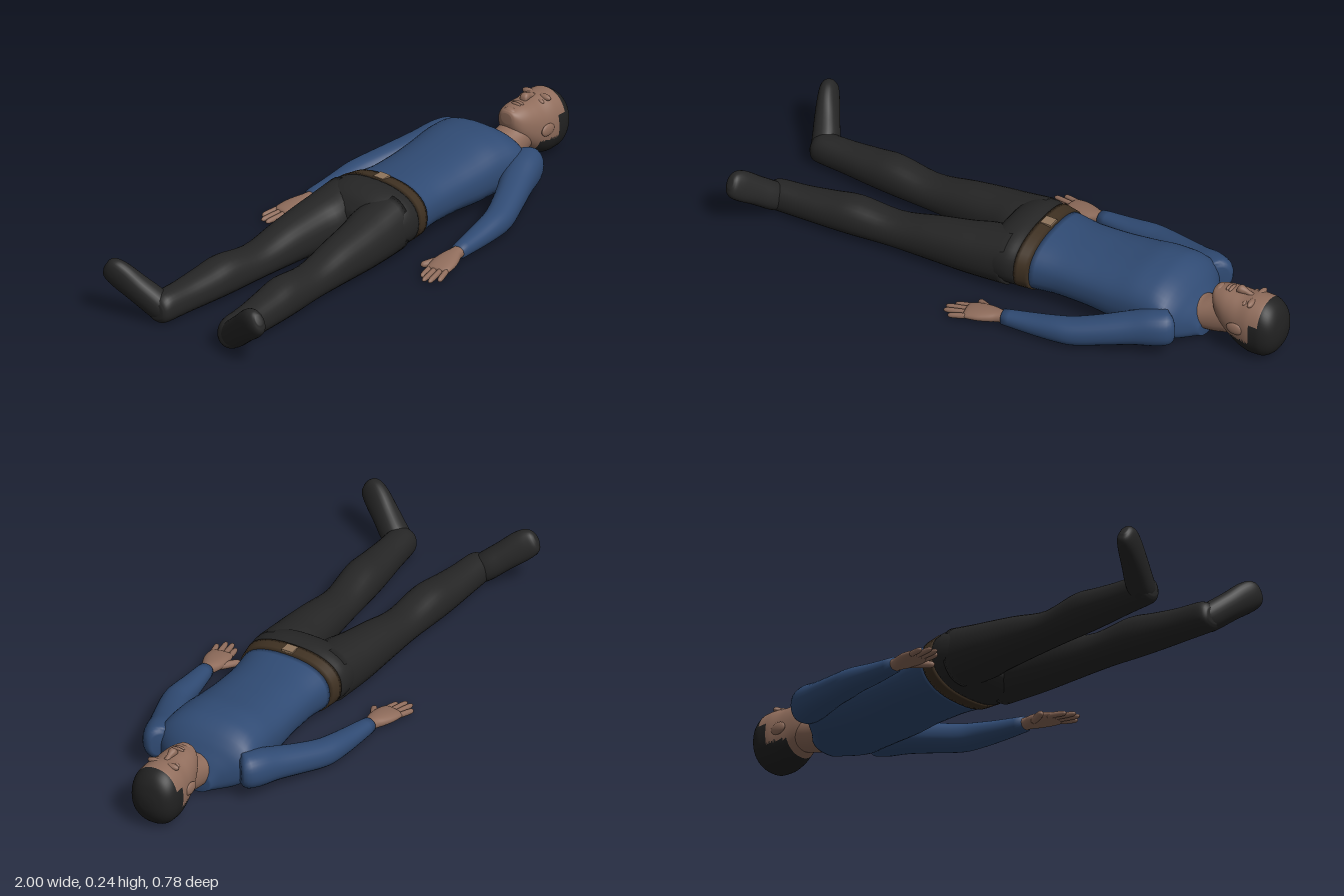
import * as THREE from 'three';

const mat = (name, color) => {
  const m = new THREE.MeshStandardMaterial({ color });
  m.name = name;
  return m;
};

// Hermite step with limited slopes, so thickness never overshoots
function blend(a, b, c, d, t) {
  const slope = (u, v) => (u * v <= 0 ? 0
    : Math.sign(u) * Math.min(Math.abs(u + v) / 2, 2 * Math.abs(u), 2 * Math.abs(v)));
  const m0 = slope(b - a, c - b), m1 = slope(c - b, d - c);
  const t2 = t * t, t3 = t2 * t;
  return (2 * t3 - 3 * t2 + 1) * b + (t3 - 2 * t2 + t) * m0 + (3 * t2 - 2 * t3) * c + (t3 - t2) * m1;
}

// Skin a tube through sections [x, y, z, half width, half thickness]
function loft(sections, { axis, up = [0, 1, 0], sides = 28, steps = 4, power = 0.9, keep } = {}) {
  const rows = [], last = sections.length - 1;
  for (let i = 0; i <= last * steps; i++) {
    const k = Math.min(Math.floor(i / steps), last - 1), t = i / steps - k;
    const at = (j) => sections[Math.max(0, Math.min(last, j))];
    rows.push(at(k).map((v, c) => {
      const p = k > 0 ? at(k - 1)[c] : 2 * v - at(k + 1)[c];
      const n = k + 2 <= last ? at(k + 2)[c] : 2 * at(k + 1)[c] - v;
      return blend(p, v, at(k + 1)[c], n, t);
    }));
  }
  const pos = [], idx = [], ref = new THREE.Vector3(...up);
  const centre = (r) => new THREE.Vector3(r[0], r[1], r[2]);
  const round = (v) => Math.sign(v) * Math.pow(Math.abs(v), power);
  rows.forEach((r, i) => {
    const T = axis ? new THREE.Vector3(...axis)
      : centre(rows[Math.min(i + 1, rows.length - 1)]).sub(centre(rows[Math.max(i - 1, 0)])).normalize();
    const S = ref.clone().cross(T).normalize(), U = T.clone().cross(S);
    for (let j = 0; j < sides; j++) {
      const a = (j / sides) * Math.PI * 2;
      const p = centre(r).addScaledVector(S, r[3] * round(Math.cos(a))).addScaledVector(U, r[4] * round(Math.sin(a)));
      pos.push(p.x, p.y, p.z);
    }
  });
  const n = rows.length, first = n * sides, end = first + 1;
  pos.push(...rows[0].slice(0, 3), ...rows[n - 1].slice(0, 3));
  for (let j = 0; j < sides; j++) {
    const q = (j + 1) % sides, e = (n - 1) * sides;
    for (let i = 0; i < n - 1; i++) {
      const a = i * sides + j, b = i * sides + q;
      idx.push(a, b, a + sides, b, b + sides, a + sides);
    }
    idx.push(first, q, j, end, e + j, e + q);
  }
  const g = new THREE.BufferGeometry();
  g.setAttribute('position', new THREE.Float32BufferAttribute(pos, 3));
  g.setIndex(idx);
  g.computeVertexNormals();
  if (keep) {
    const out = [];
    for (let i = 0; i < idx.length; i += 3) {
      const f = idx.slice(i, i + 3);
      const mid = (c) => (pos[f[0] * 3 + c] + pos[f[1] * 3 + c] + pos[f[2] * 3 + c]) / 3;
      if (keep(mid(0), mid(1), mid(2))) out.push(...f);
    }
    g.setIndex(out);
  }
  return g;
}

// Sections along x given as [x, bottom, top, half width, z]
const slab = (list, opts = {}) => loft(
  list.map(([x, lo, hi, w, z = 0]) => [x, (lo + hi) / 2, z, w, (hi - lo) / 2]),
  { axis: [1, 0, 0], ...opts });

export function createModel() {
  const root = new THREE.Group();
  const skin = mat('skin', 0x906d5c), shirt = mat('blue shirt', 0x304b74), trousers = mat('black trousers', 0x262626);
  const hairMat = mat('dark hair', 0x212121), leather = mat('brown leather', 0x3f3122), metal = mat('buckle metal', 0x8f755c);
  const add = (name, geometry, material, parent = root) => {
    const m = new THREE.Mesh(geometry, material);
    m.name = name;
    parent.add(m);
    return m;
  };
  const ball = (name, p, s, material, parent) => {
    const m = add(name, new THREE.SphereGeometry(1, 20, 14), material, parent);
    m.position.set(...p);
    m.scale.set(...s);
    return m;
  };

  // Torso, belt and hips
  add('shirtTorso', slab([
    [0.09, 0.004, 0.214, 0.175], [0.2, 0.012, 0.206, 0.163], [0.3, 0.012, 0.209, 0.165],
    [0.4, 0.004, 0.219, 0.172], [0.5, 0.003, 0.233, 0.178], [0.56, 0.004, 0.231, 0.182],
    [0.61, 0.006, 0.213, 0.185], [0.645, 0.006, 0.183, 0.165], [0.67, 0.005, 0.15, 0.125],
    [0.69, 0.005, 0.12, 0.09], [0.708, 0.008, 0.08, 0.068],
  ], { sides: 40, power: 0.84 }), shirt);
  add('belt', slab([[0.048, 0.002, 0.223, 0.188], [0.1, 0.002, 0.217, 0.179]], { sides: 40, power: 0.84 }), leather);
  add('buckle', new THREE.BoxGeometry(0.04, 0.009, 0.042), metal).position.set(0.075, 0.22, 0);
  add('hips', slab([
    [-0.1, 0.05, 0.15, 0.13], [-0.07, 0.015, 0.195, 0.176], [-0.03, 0.003, 0.218, 0.188],
    [0.01, 0.001, 0.225, 0.19], [0.05, 0.003, 0.219, 0.185],
  ], { sides: 40, power: 0.84 }), trousers);

  // Neck and head
  add('neck', loft([
    [0.63, 0.09, 0, 0.062, 0.065], [0.68, 0.085, 0, 0.062, 0.055],
    [0.73, 0.09, 0, 0.06, 0.06], [0.8, 0.11, 0, 0.06, 0.06],
  ]), skin);
  const headSections = [
    [0.732, 0.165, 0.203, 0.022], [0.738, 0.14, 0.212, 0.036], [0.755, 0.105, 0.216, 0.053],
    [0.785, 0.068, 0.221, 0.067], [0.82, 0.04, 0.221, 0.076], [0.86, 0.014, 0.221, 0.083],
    [0.9, 0.004, 0.227, 0.088], [0.935, 0.006, 0.225, 0.088], [0.965, 0.022, 0.209, 0.08],
    [0.985, 0.048, 0.183, 0.062], [0.996, 0.078, 0.15, 0.036], [1, 0.105, 0.125, 0.01],
  ];
  // Stepped hairline: forehead, temple, behind the ear
  const isHair = (x, y) => x > 0.94 || (y < 0.155 && x > 0.908) || (y < 0.082 && x > 0.825);
  const fine = { sides: 56, steps: 6 };
  add('head', slab(headSections, { ...fine, keep: (x, y) => !isHair(x, y) }), skin);
  add('hair', slab(headSections, { ...fine, keep: isHair }), hairMat);
  add('nose', loft([
    [0.878, 0.217, 0, 0.009, 0.008], [0.855, 0.224, 0, 0.009, 0.01],
    [0.832, 0.229, 0, 0.015, 0.015], [0.82, 0.225, 0, 0.014, 0.011], [0.816, 0.22, 0, 0.006, 0.005],
  ], { axis: [-1, 0, 0], sides: 16 }), skin);
  ball('upperLip', [0.796, 0.219, 0], [0.007, 0.008, 0.023], skin);
  ball('lowerLip', [0.784, 0.218, 0], [0.007, 0.008, 0.02], skin);
  ball('chin', [0.752, 0.205, 0], [0.016, 0.014, 0.025], skin);

  for (const s of [1, -1]) {
    const side = new THREE.Group();
    side.name = s > 0 ? 'rightSide' : 'leftSide';
    root.add(side);
    const flip = (list) => list.map(([x, y, z, w, t]) => [x, y, z * s, w, t]);

    // Brow, eyelid and ear
    ball('brow', [0.892, 0.215, 0.033 * s], [0.012, 0.012, 0.028], skin, side);
    ball('eyelid', [0.868, 0.206, 0.034 * s], [0.009, 0.011, 0.017], skin, side);
    ball('ear', [0.852, 0.122, 0.083 * s], [0.032, 0.022, 0.009], skin, side);

    // Trouser leg
    add('leg', slab([
      [-0.935, 0.025, 0.08, 0.03, 0.153], [-0.922, 0.008, 0.1, 0.044, 0.152], [-0.89, 0.004, 0.113, 0.051, 0.15],
      [-0.8, 0.005, 0.117, 0.056, 0.145], [-0.7, 0.005, 0.128, 0.064, 0.138], [-0.6, 0.005, 0.141, 0.069, 0.131],
      [-0.46, 0.008, 0.126, 0.066, 0.121], [-0.3, 0.006, 0.157, 0.076, 0.113], [-0.18, 0.004, 0.178, 0.086, 0.106],
      [-0.1, 0.003, 0.193, 0.094, 0.097], [0, 0.006, 0.212, 0.09, 0.096],
    ].map((r) => [...r.slice(0, 4), r[4] * s])), trousers, side);

    // Foot, turned outwards with the toes up
    add('foot', loft(flip([
      [-0.892, 0.032, 0.135, 0.03, 0.025], [-0.897, 0.046, 0.15, 0.045, 0.04], [-0.907, 0.075, 0.185, 0.05, 0.046],
      [-0.93, 0.112, 0.23, 0.05, 0.042], [-0.953, 0.15, 0.277, 0.053, 0.036], [-0.966, 0.172, 0.306, 0.05, 0.031],
      [-0.972, 0.186, 0.324, 0.038, 0.024], [-0.975, 0.192, 0.333, 0.018, 0.012],
    ]), { up: [1, 0, 0] }), trousers, side);

    // Sleeve from shoulder to wrist
    add('sleeve', loft(flip([
      [0.655, 0.105, 0.158, 0.03, 0.04], [0.642, 0.105, 0.17, 0.054, 0.062], [0.6, 0.1, 0.187, 0.06, 0.064],
      [0.53, 0.088, 0.213, 0.058, 0.056], [0.44, 0.07, 0.253, 0.053, 0.05], [0.35, 0.053, 0.288, 0.05, 0.047],
      [0.29, 0.048, 0.302, 0.046, 0.043], [0.2, 0.04, 0.311, 0.039, 0.035], [0.09, 0.034, 0.322, 0.028, 0.026],
    ])), shirt, side);

    // Hand with four fingers and a thumb
    const hand = new THREE.Group();
    hand.name = 'hand';
    side.add(hand);
    add('palm', loft(flip([
      [0.12, 0.034, 0.32, 0.022, 0.02], [0.08, 0.033, 0.322, 0.024, 0.02], [0.045, 0.03, 0.325, 0.036, 0.02],
      [0, 0.026, 0.332, 0.044, 0.018], [-0.035, 0.022, 0.338, 0.042, 0.014], [-0.046, 0.02, 0.34, 0.034, 0.008],
    ])), skin, hand);
    const digit = (name, a, b, r) => {
      const mix = (t, k) => [...a.map((v, c) => v + (b[c] - v) * t), r * k, r * k];
      add(name, loft(flip([mix(0, 1), mix(0.5, 1), mix(0.88, 0.85), mix(1, 0.3)]), { sides: 12 }), skin, hand);
    };
    const tips = [[-0.1, 0.318], [-0.122, 0.343], [-0.118, 0.366], [-0.09, 0.386]];
    tips.forEach(([x, z], i) => digit('finger' + (i + 1), [-0.03, 0.021, 0.306 + i * 0.021], [x, 0.013, z], 0.0095));
    digit('thumb', [0.035, 0.024, 0.305], [-0.038, 0.014, 0.264], 0.0125);
  }
  return root;
}
